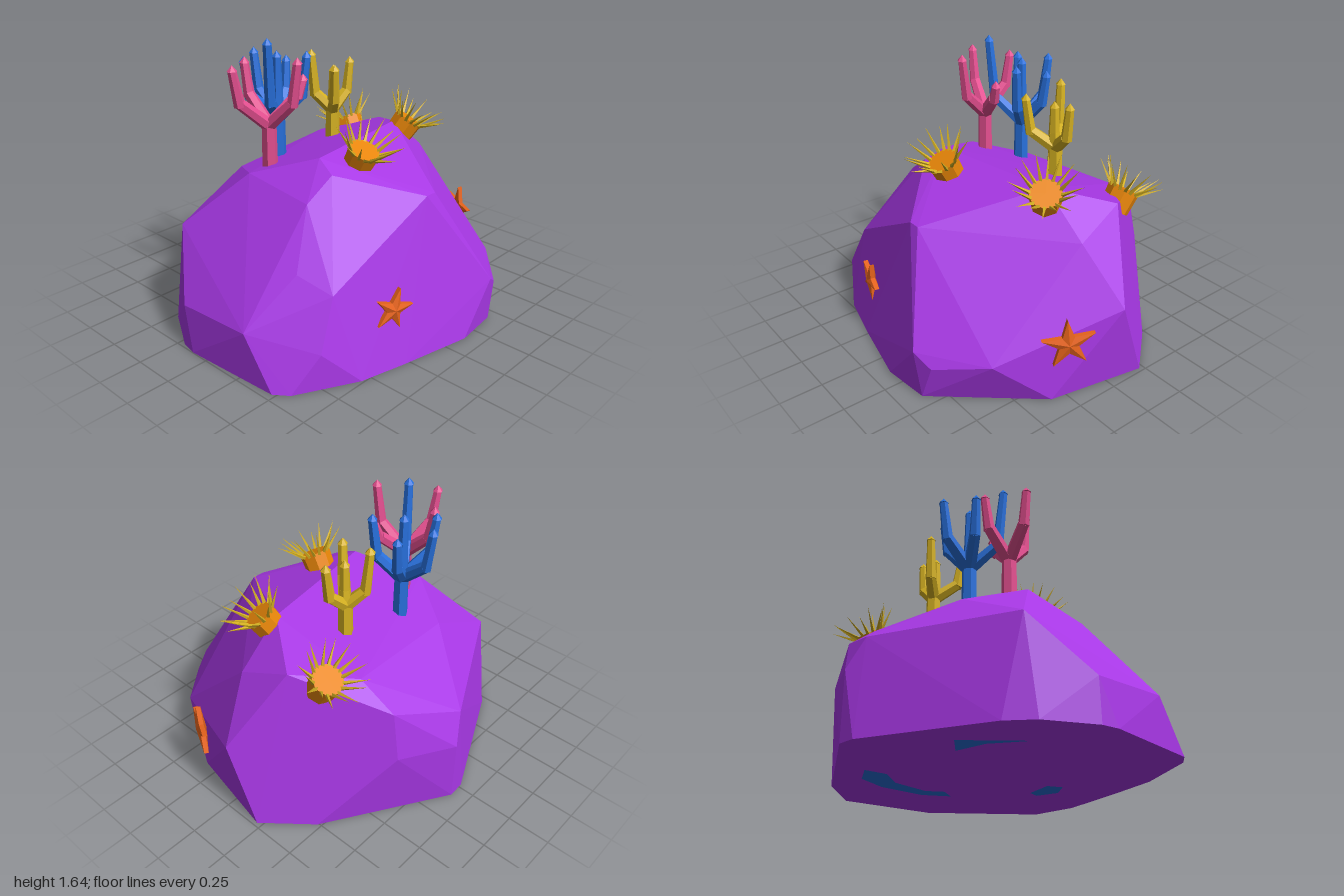
import * as THREE from 'three';
import { ConvexGeometry } from 'three/addons/geometries/ConvexGeometry.js';

const V = (x, y, z) => new THREE.Vector3(x, y, z);
const UP = V(0, 1, 0);

function mat(name, color) {
  const m = new THREE.MeshStandardMaterial({ color });
  m.name = name;
  return m;
}

// Gives every facet its own normal
function faceted(geo) {
  const g = geo.index ? geo.toNonIndexed() : geo;
  g.computeVertexNormals();
  return g;
}

function add(parent, name, geo, material) {
  const mesh = new THREE.Mesh(faceted(geo), material);
  mesh.name = name;
  parent.add(mesh);
  return mesh;
}

// Tapered limb between two points
function limb(parent, name, a, b, r0, r1, material, sides = 6) {
  const dir = b.clone().sub(a);
  const mesh = add(parent, name, new THREE.CylinderGeometry(r1, r0, dir.length(), sides), material);
  mesh.position.copy(a).add(b).multiplyScalar(0.5);
  mesh.quaternion.setFromUnitVectors(UP, dir.normalize());
  return mesh;
}

// Coral: a trunk, with arms that lean out and then turn upward to pointed tips
function coral(name, base, forkY, elbowY, tips, material) {
  const g = new THREE.Group();
  g.name = name;
  const fork = V(base.x, forkY, base.z);
  limb(g, 'trunk', base, fork.clone().add(V(0, 0.03, 0)), 0.046, 0.042, material);
  for (const [x, y, z] of tips) {
    const tip = V(x, y - 0.035, z);
    const elbow = V(fork.x + (x - fork.x) * 0.82, elbowY, fork.z + (z - fork.z) * 0.82);
    limb(g, 'arm', fork, elbow, 0.039, 0.033, material);
    limb(g, 'upperArm', elbow.clone().add(V(0, -0.015, 0)), tip, 0.033, 0.025, material);
    limb(g, 'armTip', tip, V(x, y, z), 0.029, 0, material);
  }
  return g;
}

// Urchin: stubby cup with a ring of spikes around the rim
function urchin(center, axis, bodyMat, spikeMat) {
  const g = new THREE.Group();
  g.name = 'urchin';
  add(g, 'urchinBody', new THREE.CylinderGeometry(0.092, 0.086, 0.13, 8), bodyMat);
  const n = 16;
  for (let i = 0; i < n; i++) {
    const t = (i / n) * Math.PI * 2;
    const out = i % 2 ? 0.18 : 0.2;
    const high = i % 2 ? 0.2 : 0.16;
    limb(g, 'spike', V(Math.cos(t) * 0.08, 0.055, Math.sin(t) * 0.08),
      V(Math.cos(t) * out, high, Math.sin(t) * out), 0.012, 0, spikeMat, 4);
  }
  g.position.copy(center);
  g.quaternion.setFromUnitVectors(UP, axis.normalize());
  return g;
}

// Starfish: ten-sided lens with every second corner pulled in
function starfish(parent, pos, normal, radius, roll, material) {
  const profile = [[0, -0.03], [1, -0.013], [1, 0.013], [0, 0.03]].map(([r, y]) => new THREE.Vector2(r * radius, y));
  const geo = new THREE.LatheGeometry(profile, 10);
  const p = geo.attributes.position;
  for (let i = 0; i < p.count; i++) {
    const k = Math.floor(i / profile.length) % 2 ? 0.37 : 1;
    p.setXYZ(i, p.getX(i) * k, p.getY(i), p.getZ(i) * k);
  }
  geo.rotateX(Math.PI / 2);
  geo.rotateZ(Math.PI + roll);
  const mesh = add(parent, 'starfish', geo, material);
  mesh.position.copy(pos);
  mesh.lookAt(pos.clone().add(normal));
}

export function createModel() {
  const model = new THREE.Group();
  model.name = 'coralRock';
  const purple = mat('rock purple', 0xa838e6);
  const pink = mat('coral pink', 0xe44f90);
  const blue = mat('coral blue', 0x2870dc);
  const yellow = mat('coral yellow', 0xd6b222);
  const orange = mat('urchin orange', 0xe88608);
  const rust = mat('starfish orange', 0xe8641c);

  // Rock: hull of its corners
  const ground = [[0.14, 0.9], [0.42, 0.87], [0.87, 0.34], [0.98, -0.22], [0.76, -0.48], [0.08, -0.905], [-0.02, -0.9],
    [-0.7, -0.58], [-0.83, -0.47], [-0.98, -0.21], [-1, -0.11], [-0.96, 0.48], [-0.9, 0.56], [-0.56, 0.74], [-0.28, 0.81]];
  const crown = [[-0.3, 1.03, 0.19], [0.48, 1.03, 0.07], [0.71, 0.93, -0.24], [0.42, 0.86, -0.49], [-0.3, 0.81, -0.46],
    [0.38, 0.7, -0.69], [-0.01, 0.56, -0.85], [-0.75, 0.58, -0.47], [-0.5, 0.905, -0.16], [-0.33, 0.97, 0.31],
    [-0.5, 0.85, 0.29], [0.05, 0.835, 0.66], [0.12, 0.835, 0.66]];
  const flanks = [[0.385, 0.28, 0.89], [0.49, 0.21, 0.85], [0.73, 0.26, 0.63], [0.76, 0.81, 0.06], [1, 0.485, -0.04],
    [0.4, 0.42, -0.745], [0.08, 0.39, -0.905], [-0.97, 0.28, 0.29], [-0.69, 0.55, 0.4], [-0.62, 0.47, 0.59],
    [-0.75, 0.2, 0.63], [-0.97, 0.25, -0.2]];
  const corners = [...ground.map(([x, z]) => V(x, 0, z)), ...[...crown, ...flanks].map((c) => V(...c))];
  add(model, 'rock', new ConvexGeometry(corners), purple);

  // Blue patches on the underside
  const patches = [
    [[0.45, 0.155], [0.545, 0.007], [0.566, -0.27], [0.506, -0.456], [0.354, -0.55], [0.334, -0.415], [0.44, -0.27],
      [0.46, -0.035], [0.396, 0.057]],
    [[0.085, 0.51], [0.067, 0.435], [-0.106, 0.39], [-0.15, 0.475], [-0.046, 0.55]],
    [[-0.233, -0.43], [-0.354, -0.55], [-0.61, -0.27], [-0.42, -0.4]],
  ];
  for (const outline of patches) {
    const shape = new THREE.Shape(outline.map(([x, z]) => new THREE.Vector2(x, z)));
    const patch = add(model, 'undersidePatch', new THREE.ShapeGeometry(shape).rotateX(Math.PI / 2), blue);
    patch.position.y = -0.003;
  }

  // Corals
  model.add(coral('pinkCoral', V(-0.35, 0.82, -0.15), 1.15, 1.3,
    [[-0.55, 1.52, -0.21], [-0.35, 1.51, -0.34], [-0.15, 1.42, -0.08], [-0.31, 1.56, 0.04]], pink));
  model.add(coral('blueCoral', V(-0.16, 0.8, -0.28), 1.12, 1.26,
    [[-0.33, 1.635, -0.17], [-0.32, 1.5, -0.38], [-0.155, 1.51, -0.48], [-0.02, 1.46, -0.35], [-0.05, 1.52, -0.15],
      [-0.16, 1.52, -0.28]], blue));
  model.add(coral('yellowCoral', V(0.23, 0.85, -0.21), 1.1, 1.2,
    [[0.15, 1.47, -0.31], [0.36, 1.41, -0.19], [0.115, 1.42, -0.085], [0.225, 1.38, -0.2]], yellow));

  // Urchins
  model.add(urchin(V(-0.1, 1.0, 0.31), V(0, 0.88, 0.46), orange, yellow));
  model.add(urchin(V(0.52, 0.99, 0.11), V(0.42, 0.82, 0.38), orange, yellow));
  model.add(urchin(V(0.585, 0.865, -0.38), V(0.05, 0.84, -0.53), orange, yellow));

  // Starfish
  starfish(model, V(-0.31, 0.32, 0.735), V(-0.25, 0, 1), 0.125, -0.3, rust);
  starfish(model, V(0.92, 0.37, 0.28), V(0.88, 0, 0.47), 0.15, 0.08, rust);
  return model;
}
